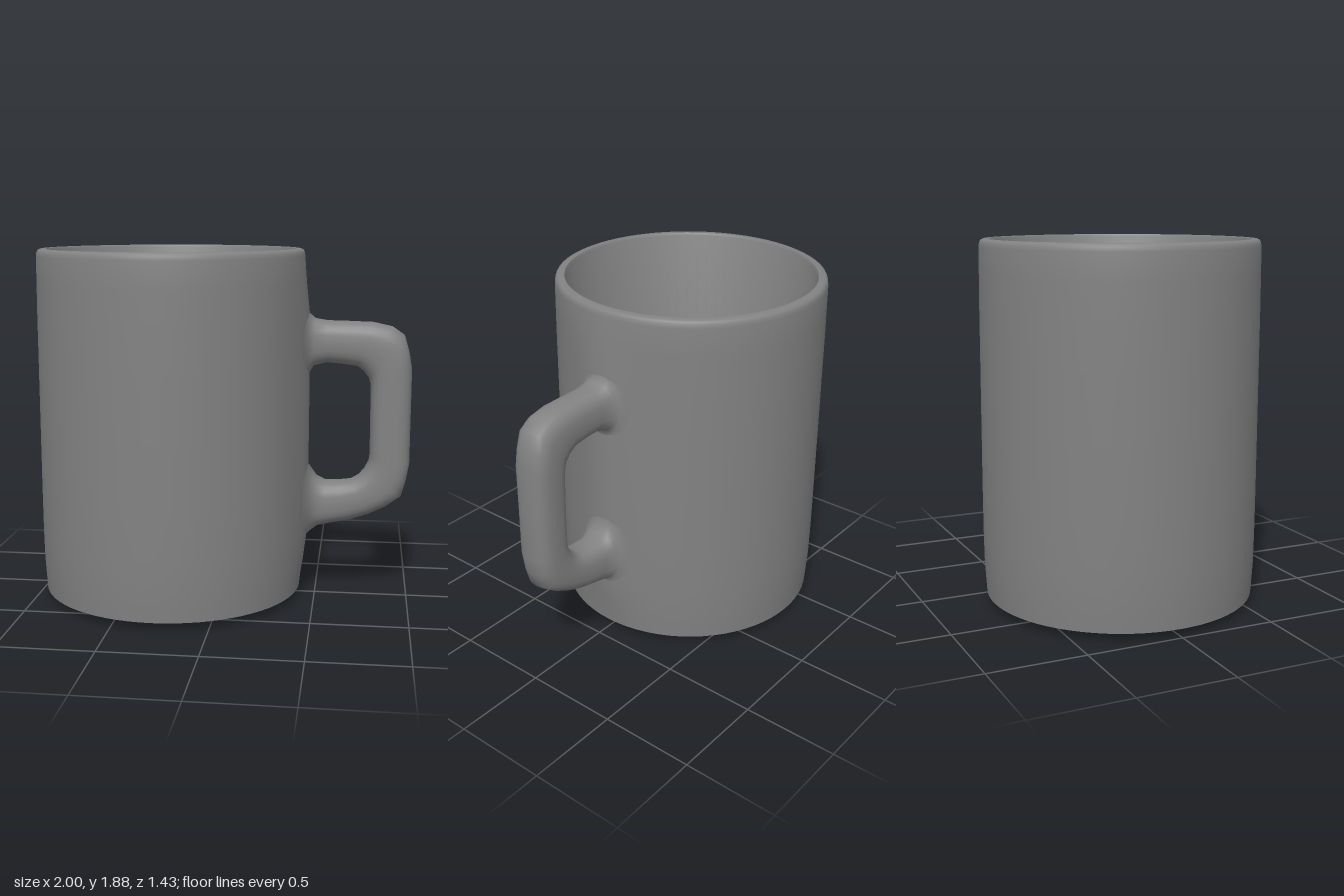
import * as THREE from 'three';
import { toCreasedNormals } from 'three/addons/utils/BufferGeometryUtils.js';

const CUP_X = -0.286;
const material = () => new THREE.MeshStandardMaterial({ color: 0x828282 });

// Cup: lathed shell whose outer wall swells gently towards the handle
function makeCup() {
  const profile = [
    [0, 0], [0.7, 0.04],
    [0.704, 0.1], [0.71, 0.2], [0.713, 0.36], [0.714, 0.6], [0.714, 0.95], [0.714, 1.3],
    [0.714, 1.54], [0.713, 1.7], [0.712, 1.84], [0.709, 1.858], [0.703, 1.87], [0.692, 1.876],
    [0.662, 1.877], [0.655, 1.865],
    [0.64, 0.16], [0.634, 0.1], [0, 0.1],
  ].map(([r, y]) => new THREE.Vector2(r, y));
  const geo = new THREE.LatheGeometry(profile, 72);
  const pos = geo.attributes.position;
  for (let i = 0; i < pos.count; i++) {
    const x = pos.getX(i), y = pos.getY(i), z = pos.getZ(i);
    if (x < 0 || Math.hypot(x, z) < 0.69) continue;
    const rise = THREE.MathUtils.smoothstep(y, 0.04, 0.42);
    const fall = 1 - THREE.MathUtils.smoothstep(y, 1.46, 1.86);
    pos.setX(i, x + 0.03 * rise * fall * Math.exp(-((z / 0.16) ** 2)));
  }
  const mesh = new THREE.Mesh(toCreasedNormals(geo, 0.75), material());
  mesh.name = 'cup';
  mesh.position.x = CUP_X;
  return mesh;
}

// Handle: rounded sections lofted between an outer and an inner outline
function makeHandle() {
  // outer x, outer y, inner x, inner y, half width
  const stations = [
    [0.385, 1.6, 0.385, 1.14, 0.18],
    [0.425, 1.575, 0.43, 1.18, 0.155],
    [0.45, 1.545, 0.452, 1.215, 0.128],
    [0.485, 1.513, 0.48, 1.262, 0.108],
    [0.55, 1.502, 0.55, 1.28, 0.1],
    [0.66, 1.5, 0.64, 1.272, 0.098],
    [0.79, 1.496, 0.71, 1.262, 0.1],
    [0.89, 1.475, 0.745, 1.235, 0.102],
    [0.955, 1.43, 0.772, 1.2, 0.103],
    [0.982, 1.34, 0.782, 1.165, 0.104],
    [0.998, 1.25, 0.783, 1.1, 0.104],
    [0.998, 1.0, 0.784, 0.96, 0.102],
    [0.998, 0.74, 0.785, 0.79, 0.102],
    [0.982, 0.645, 0.78, 0.748, 0.102],
    [0.958, 0.562, 0.755, 0.7, 0.102],
    [0.88, 0.505, 0.725, 0.665, 0.102],
    [0.79, 0.46, 0.685, 0.642, 0.1],
    [0.69, 0.425, 0.625, 0.635, 0.1],
    [0.57, 0.4, 0.545, 0.634, 0.102],
    [0.51, 0.386, 0.5, 0.657, 0.11],
    [0.468, 0.348, 0.463, 0.715, 0.128],
    [0.43, 0.31, 0.43, 0.755, 0.155],
    [0.385, 0.285, 0.385, 0.795, 0.18],
  ];
  const N = 24, last = stations.length - 1, positions = [], index = [];
  stations.forEach(([ox, oy, ix, iy, w], s) => {
    // squarish along the grip, elliptical where it meets the cup
    const power = Math.min(s, last - s) < 3 ? 1 : 0.75;
    const soften = (v) => Math.sign(v) * Math.abs(v) ** power;
    for (let k = 0; k < N; k++) {
      const a = (k / N) * Math.PI * 2;
      const t = 0.5 - 0.5 * soften(Math.cos(a));
      positions.push(ox + (ix - ox) * t, oy + (iy - oy) * t, w * soften(Math.sin(a)) - 0.008);
      if (s === last) continue;
      const p = s * N + k, q = s * N + ((k + 1) % N);
      index.push(p, q, p + N, q, q + N, p + N);
    }
  });
  const geo = new THREE.BufferGeometry();
  geo.setAttribute('position', new THREE.Float32BufferAttribute(positions, 3));
  geo.setIndex(index);
  geo.computeVertexNormals();

  // Turn the end normals towards the cup wall so the joints shade smoothly
  const blend = [1, 0.9, 0.55, 0.15];
  const { position, normal } = geo.attributes;
  const n = new THREE.Vector3(), wall = new THREE.Vector3();
  for (let i = 0; i < position.count; i++) {
    const s = Math.floor(i / N);
    const amount = blend[Math.min(s, last - s)] ?? 0;
    wall.set(position.getX(i) - CUP_X, 0, position.getZ(i)).normalize();
    n.fromBufferAttribute(normal, i).lerp(wall, amount).normalize();
    normal.setXYZ(i, n.x, n.y, n.z);
  }
  const mesh = new THREE.Mesh(geo, material());
  mesh.name = 'handle';
  return mesh;
}

export function createModel() {
  const mug = new THREE.Group();
  mug.name = 'mug';
  mug.add(makeCup(), makeHandle());
  return mug;
}
